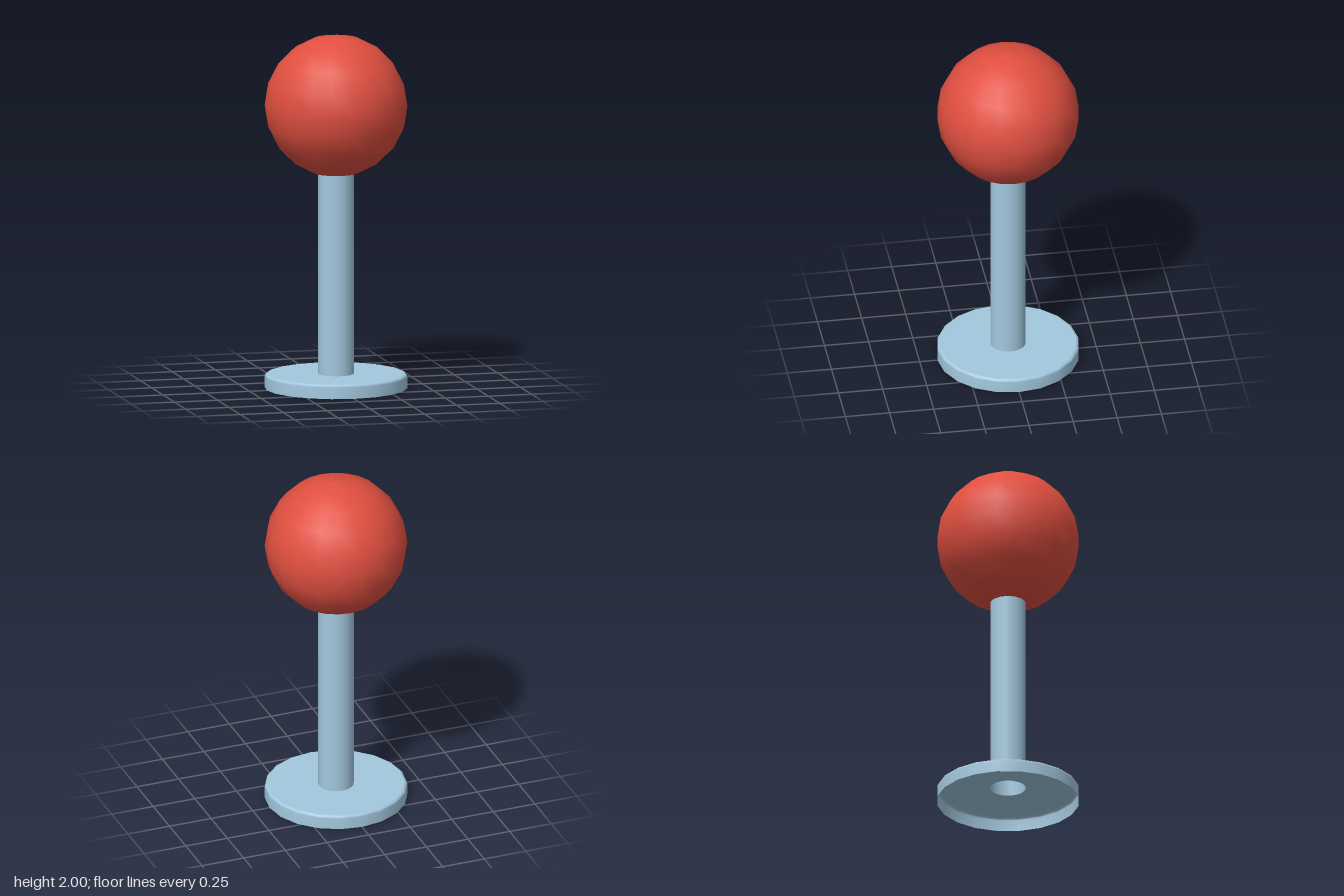
import * as THREE from 'three';

const SIDES = 20;
const blue = new THREE.MeshStandardMaterial({ color: 0xa3c8de, side: THREE.DoubleSide });
const red = new THREE.MeshStandardMaterial({ color: 0xe04f40, side: THREE.DoubleSide });

// Turned surface from [radius, height] pairs, listed bottom to top
function turned(name, profile, material) {
  const points = profile.map(([r, y]) => new THREE.Vector2(r, y));
  const mesh = new THREE.Mesh(new THREE.LatheGeometry(points, SIDES), material);
  mesh.name = name;
  return mesh;
}

export function createModel() {
  const model = new THREE.Group();
  model.name = 'ballLever';

  const ballRadius = 0.4, ballY = 1.6, postRadius = 0.1, baseHeight = 0.08;

  // Ball, cut flat at its lowest ring where it meets the post
  const ringAngle = Math.PI / 10;
  const ballProfile = [];
  for (let i = 1; i <= 10; i++) {
    const a = i * ringAngle;
    ballProfile.push([i === 10 ? 0 : ballRadius * Math.sin(a), ballY - ballRadius * Math.cos(a)]);
  }
  const [cutRadius, cutY] = ballProfile[0];

  // Base: open-bottomed shell with a softened upper edge
  const base = new THREE.Group();
  base.name = 'base';
  base.add(
    turned('baseRim', [[0.4, 0], [0.4, 0.065], [0.396, 0.075], [0.385, baseHeight]], blue),
    turned('baseTop', [[0.385, baseHeight], [postRadius, baseHeight]], blue),
  );

  // Hollow post
  const post = turned('post', [[postRadius, baseHeight], [postRadius, cutY]], blue);

  const ball = new THREE.Group();
  ball.name = 'ball';
  ball.add(
    turned('ballSurface', ballProfile, red),
    turned('ballUnderside', [[postRadius, cutY], [cutRadius, cutY]], red),
  );

  model.add(base, post, ball);
  return model;
}
